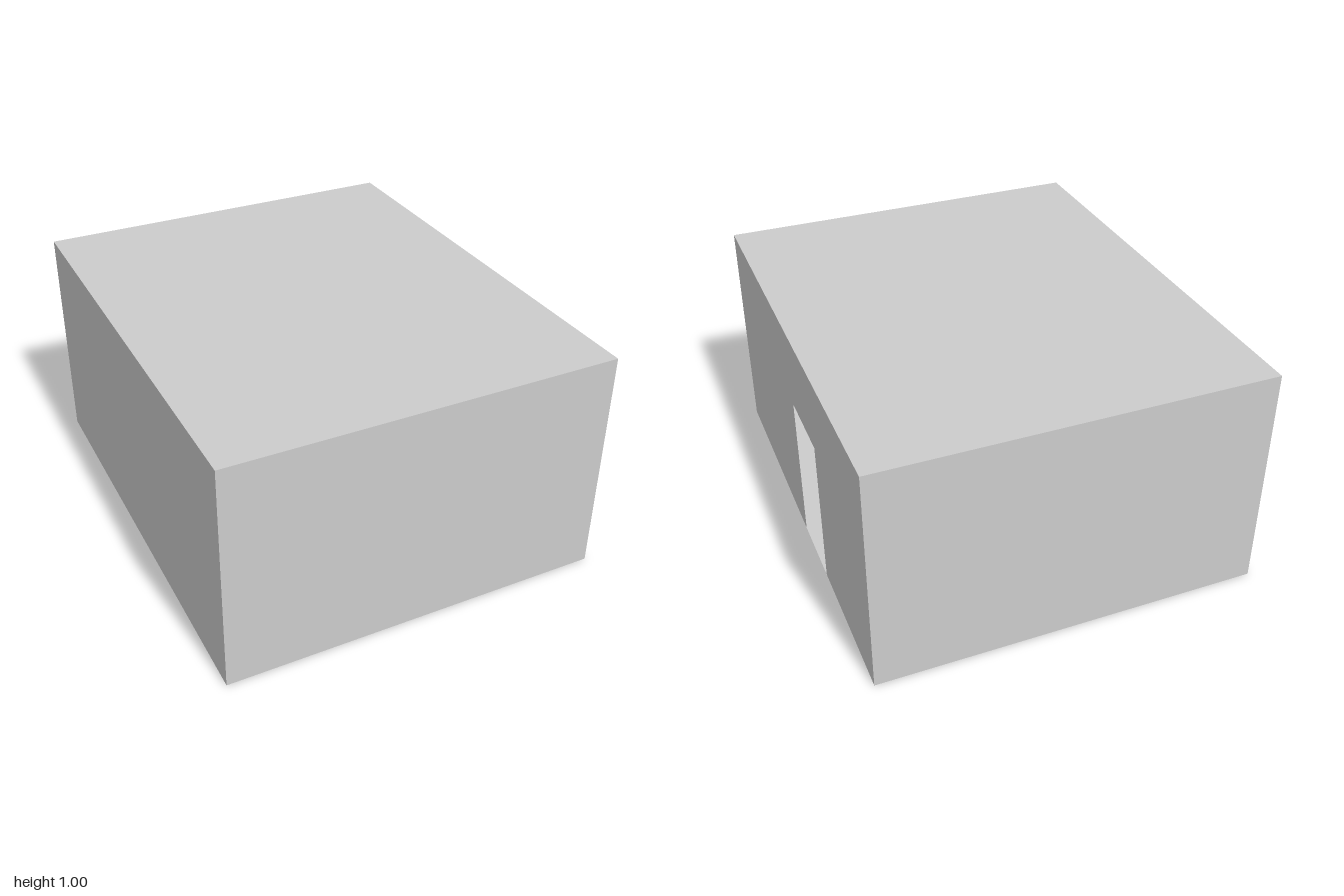
import * as THREE from 'three';

const W = 1.667, H = 1, D = 2;           // room size along x, y, z
const DOOR = { near: 0, far: 0.333, top: 0.667 }; // measured towards the back

export function createModel() {
  const room = new THREE.Group();
  room.name = 'room';
  const material = new THREE.MeshStandardMaterial({
    color: 0xcccccc, flatShading: true, side: THREE.DoubleSide,
  });

  // Thin panel, turned to face outwards and moved into place
  function panel(name, geometry, position, rotX = 0, rotY = 0) {
    const mesh = new THREE.Mesh(geometry, material);
    mesh.name = name;
    mesh.position.set(...position);
    mesh.rotation.set(rotX, rotY, 0);
    room.add(mesh);
  }

  // Floor and flat roof
  panel('floor', new THREE.PlaneGeometry(W, D), [0, 0, 0], Math.PI / 2);
  panel('roof', new THREE.PlaneGeometry(W, D), [0, H, 0], -Math.PI / 2);

  // Plain walls
  panel('frontWall', new THREE.PlaneGeometry(W, H), [0, H / 2, D / 2]);
  panel('backWall', new THREE.PlaneGeometry(W, H), [0, H / 2, -D / 2], 0, Math.PI);
  panel('rightWall', new THREE.PlaneGeometry(D, H), [-W / 2, H / 2, 0], 0, -Math.PI / 2);

  // Wall with an open doorway cut up from the floor
  const outline = new THREE.Shape([
    [-D / 2, 0], [DOOR.near, 0], [DOOR.near, DOOR.top], [DOOR.far, DOOR.top],
    [DOOR.far, 0], [D / 2, 0], [D / 2, H], [-D / 2, H],
  ].map(([x, y]) => new THREE.Vector2(x, y)));
  panel('doorwayWall', new THREE.ShapeGeometry(outline), [W / 2, 0, 0], 0, Math.PI / 2);

  return room;
}
